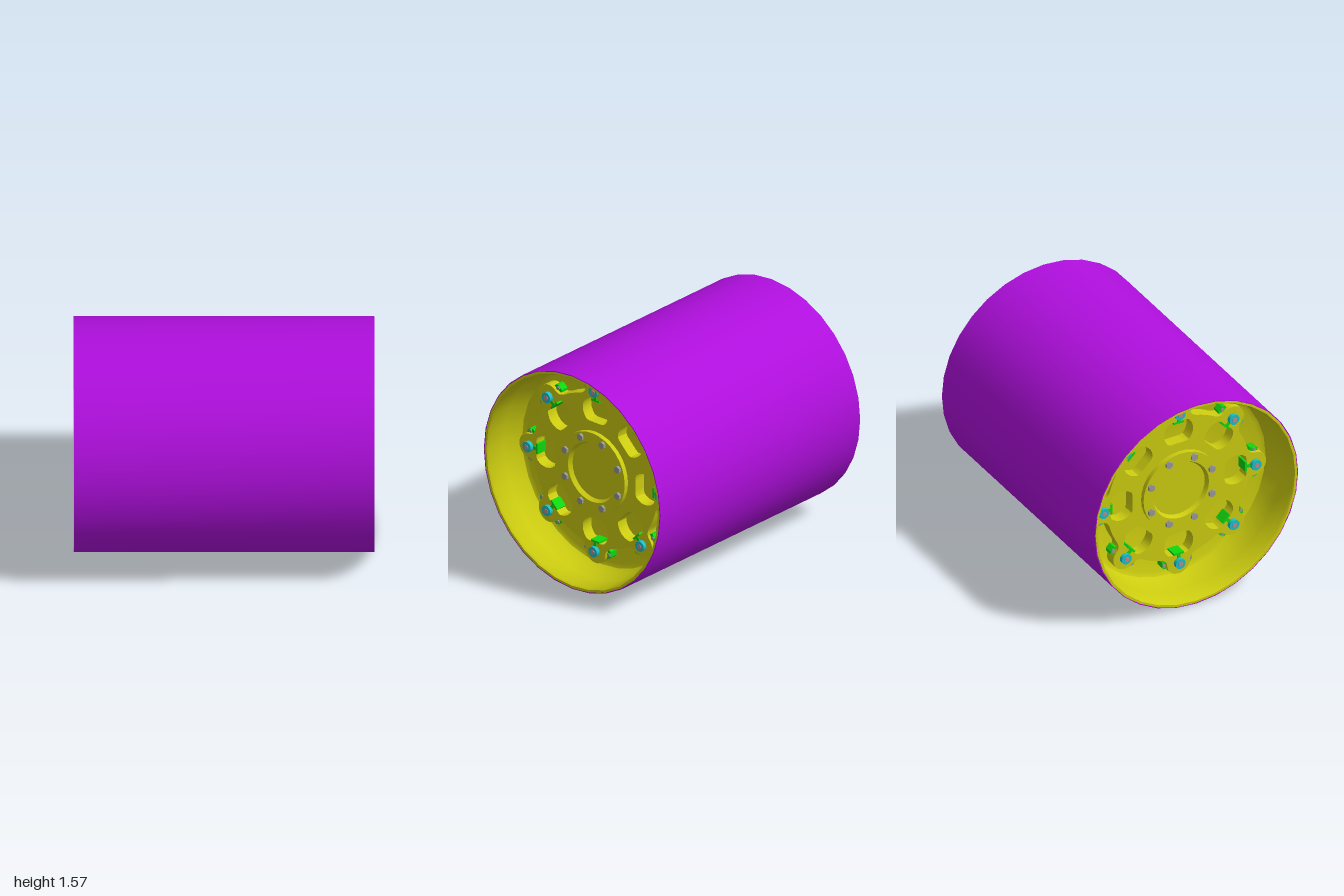
import * as THREE from 'three';
import { toCreasedNormals } from 'three/addons/utils/BufferGeometryUtils.js';

const R = 0.785;
const SIDES = 32;
const paint = (color) => new THREE.MeshStandardMaterial({ color, side: THREE.DoubleSide });
const purple = paint(0xaf0fdd);
const yellow = paint(0xcccc10);
const green = paint(0x0fd80f);
const cyan = paint(0x1cc0c8);
const grey = paint(0x999999);
const pink = paint(0xc08a90);

function add(parent, name, geometry, material, x = 0, y = 0, z = 0) {
  const mesh = new THREE.Mesh(geometry, material);
  mesh.name = name;
  mesh.position.set(x, y, z);
  parent.add(mesh);
  return mesh;
}

// Turned part whose axis is z; points are [radius, z]
function turned(points, sides = SIDES) {
  const profile = points.map(([r, z]) => new THREE.Vector2(r, z));
  const g = new THREE.LatheGeometry(profile, sides).rotateX(Math.PI / 2);
  return toCreasedNormals(g, 0.6);
}

// Round pin along z between two depths
function pin(radius, z0, z1, sides) {
  return new THREE.CylinderGeometry(radius, radius, z1 - z0, sides)
    .rotateX(Math.PI / 2).translate(0, 0, (z0 + z1) / 2);
}

// Round plate with eight filleted lobes and eight flat-sided holes
function spiderShape() {
  const shape = new THREE.Shape();
  for (let i = 0; i < 8; i++) {
    const a = (i * Math.PI) / 4;
    const at = (side, out) => [
      out * Math.cos(a) - side * Math.sin(a),
      out * Math.sin(a) + side * Math.cos(a),
    ];
    const foot = 0.25;
    const start = at(-0.55 * Math.sin(foot), 0.55 * Math.cos(foot));
    if (i === 0) shape.moveTo(...start);
    else shape.lineTo(...start);
    shape.quadraticCurveTo(...at(-0.09, 0.55), ...at(-0.088, 0.59));
    for (let k = 1; k <= 10; k++) {
      const t = (k / 10) * Math.PI;
      shape.lineTo(...at(-0.088 * Math.cos(t), 0.59 + 0.086 * Math.sin(t)));
    }
    shape.quadraticCurveTo(...at(0.09, 0.55), ...at(0.55 * Math.sin(foot), 0.55 * Math.cos(foot)));
    const b = a + Math.PI / 4 - foot;
    for (let k = 1; k < 4; k++) {
      const t = a + foot + ((b - a - foot) * k) / 4;
      shape.lineTo(0.55 * Math.cos(t), 0.55 * Math.sin(t));
    }

    const hole = [];
    for (let k = 0; k < 24; k++) {
      const t = (k / 24) * Math.PI * 2;
      const out = THREE.MathUtils.clamp(0.11 * Math.sin(t), -0.085, 0.085);
      hole.push(new THREE.Vector2(...at(0.112 * Math.cos(t), 0.44 + out)));
    }
    shape.holes.push(new THREE.Path(hole));
  }
  return shape;
}

// One end of the drum, facing +z
function createEnd() {
  const end = new THREE.Group();
  end.name = 'drumEnd';

  // Tapered lining, rim and recessed back wall
  add(end, 'liningAndWall', turned([
    [0.78, 0.9], [0.78, 1], [0.762, 1], [0.752, 0.985], [0.745, 0.85],
    [0.728, 0.74], [0.71, 0.7], [0.68, 0.685], [0.3, 0.68], [0, 0.68],
  ]), yellow);

  const plate = new THREE.ExtrudeGeometry(spiderShape(), {
    depth: 0.085, bevelEnabled: false, curveSegments: 6,
  });
  add(end, 'spiderPlate', toCreasedNormals(plate, 0.6), yellow, 0, 0, 0.682);

  // Raised hub ring with a shallow dished centre
  add(end, 'hub', turned([
    [0.29, 0.7], [0.29, 0.8], [0.215, 0.8], [0.2, 0.77], [0, 0.77],
  ]), yellow);

  for (let i = 0; i < 8; i++) {
    const boltAngle = (i + 0.5) * Math.PI / 4;
    add(end, 'hubBolt', toCreasedNormals(pin(0.026, 0.78, 0.818, 6), 0.6), grey,
      0.253 * Math.cos(boltAngle), 0.253 * Math.sin(boltAngle));

    // Clamp unit at each lobe, built at the top and turned into place
    const clamp = new THREE.Group();
    clamp.name = 'lobeClamp';
    clamp.rotation.z = i * Math.PI / 4;
    end.add(clamp);
    add(clamp, 'clampFoot', new THREE.BoxGeometry(0.075, 0.014, 0.086), green, 0, 0.518, 0.728);
    add(clamp, 'clampStem', new THREE.BoxGeometry(0.024, 0.07, 0.03), green, 0, 0.555, 0.757);

    const ears = new THREE.Shape([
      [-0.115, 0.57], [-0.095, 0.555], [0.095, 0.555],
      [0.115, 0.57], [0.115, 0.61], [0.1, 0.625], [-0.1, 0.625], [-0.115, 0.61],
    ].map(([x, y]) => new THREE.Vector2(x, y)));
    add(clamp, 'clampEars',
      new THREE.ExtrudeGeometry(ears, { depth: 0.06, bevelEnabled: false }), green, 0, 0, 0.683);
    for (const s of [-1, 1]) {
      add(clamp, 'earBolt', pin(0.013, 0.73, 0.752, 10), grey, s * 0.101, 0.595);
    }
    add(clamp, 'pivotCap', pin(0.038, 0.75, 0.795, 16), cyan, 0, 0.588);
    add(clamp, 'pivotScrew', pin(0.018, 0.78, 0.8, 6), pink, 0, 0.588);
  }
  return end;
}

export function createModel() {
  const model = new THREE.Group();
  model.name = 'drum';

  // Outer sleeve with thin open edges
  const sleeve = turned([[0.778, -1], [R, -1], [R, 1], [0.778, 1]]);
  add(model, 'sleeve', sleeve.rotateY(Math.PI / 2), purple, 0, R, 0);

  for (const s of [-1, 1]) {
    const end = createEnd();
    end.rotation.y = s * Math.PI / 2;
    end.position.y = R;
    model.add(end);
  }
  return model;
}
